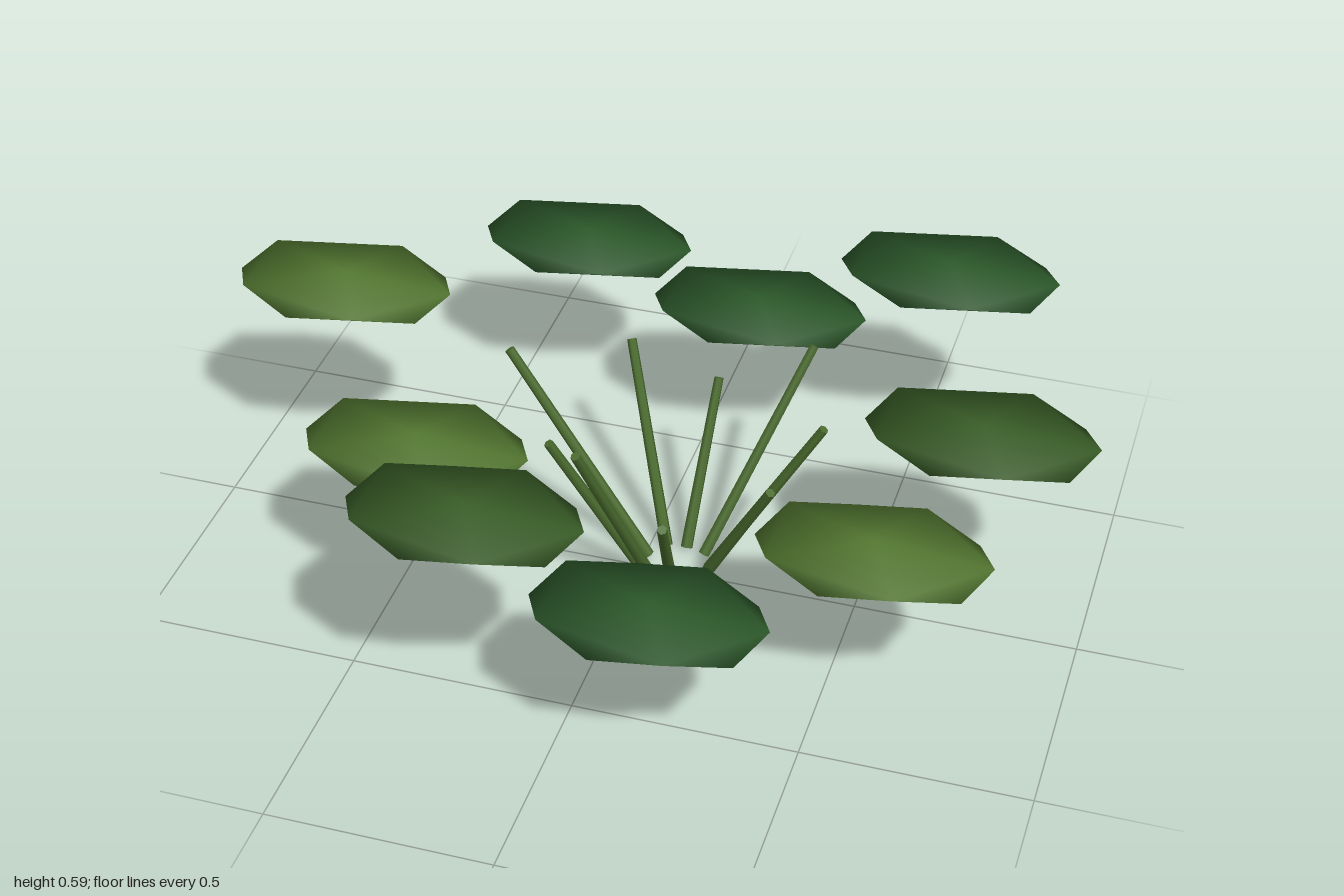
import * as THREE from 'three';
import { mergeVertices } from 'three/addons/utils/BufferGeometryUtils.js';

// Flattened, smooth-shaded 20-sided pad with a vertex pointing up
function padGeometry() {
  let geo = new THREE.IcosahedronGeometry(1, 0);
  geo.deleteAttribute('normal');
  geo.deleteAttribute('uv');
  geo = mergeVertices(geo, 1e-4);
  geo.rotateZ(-Math.atan(2 / (1 + Math.sqrt(5))));
  // Keep the round normals after flattening for soft shading
  const round = geo.attributes.position.clone();
  geo.scale(0.284, 0.027, 0.188);
  geo.setAttribute('normal', round);
  return geo;
}

// Thin tapered stalk between two points
function makeStalk(from, to, material) {
  const a = new THREE.Vector3(...from);
  const b = new THREE.Vector3(...to);
  const dir = b.clone().sub(a);
  const mesh = new THREE.Mesh(new THREE.CylinderGeometry(0.011, 0.014, dir.length(), 6), material);
  mesh.position.copy(a).add(b).multiplyScalar(0.5);
  mesh.quaternion.setFromUnitVectors(new THREE.Vector3(0, 1, 0), dir.normalize());
  mesh.name = 'stalk';
  return mesh;
}

export function createModel() {
  const group = new THREE.Group();
  group.name = 'lilyPadPlant';
  const green = (color) => new THREE.MeshStandardMaterial({ color });
  const dark = green(0x2d5a2b);
  const mid = green(0x3a5f28);
  const light = green(0x557a32);
  const stalkGreen = green(0x4a6b2e);

  // Floating leaf pads: x, y, z, colour
  const pads = [
    [-0.32, 0.44, -0.625, dark],
    [0.125, 0.385, -0.54, dark],
    [0.55, 0.51, -0.625, dark],
    [0.745, 0.50, -0.04, mid],
    [0.59, 0.39, 0.28, light],
    [0.20, 0.385, 0.60, dark],
    [-0.18, 0.566, 0.62, mid],
    [-0.42, 0.44, 0.27, light],
    [-0.745, 0.533, -0.15, light],
  ];
  const padGeo = padGeometry();
  for (const [x, y, z, material] of pads) {
    const pad = new THREE.Mesh(padGeo, material);
    pad.position.set(x, y, z);
    pad.name = 'leafPad';
    group.add(pad);
  }

  // Stalks fanning out from a small ring: base x, z, then tip x, y, z
  const stalks = [
    [0.04, -0.078, -0.118, 0.39, -0.32],
    [0.085, -0.085, 0.10, 0.35, -0.285],
    [0.13, -0.073, 0.31, 0.455, -0.32],
    [0.153, -0.025, 0.405, 0.447, -0.03],
    [0.148, 0.018, 0.33, 0.375, 0.13],
    [0.092, 0.055, 0.137, 0.35, 0.29],
    [0.048, 0.05, -0.05, 0.51, 0.30],
    [0.012, 0.02, -0.17, 0.395, 0.125],
    [0.01, -0.032, -0.33, 0.473, -0.085],
  ];
  for (const [bx, bz, tx, ty, tz] of stalks) {
    group.add(makeStalk([bx, 0.007, bz], [tx, ty, tz], stalkGreen));
  }
  return group;
}
